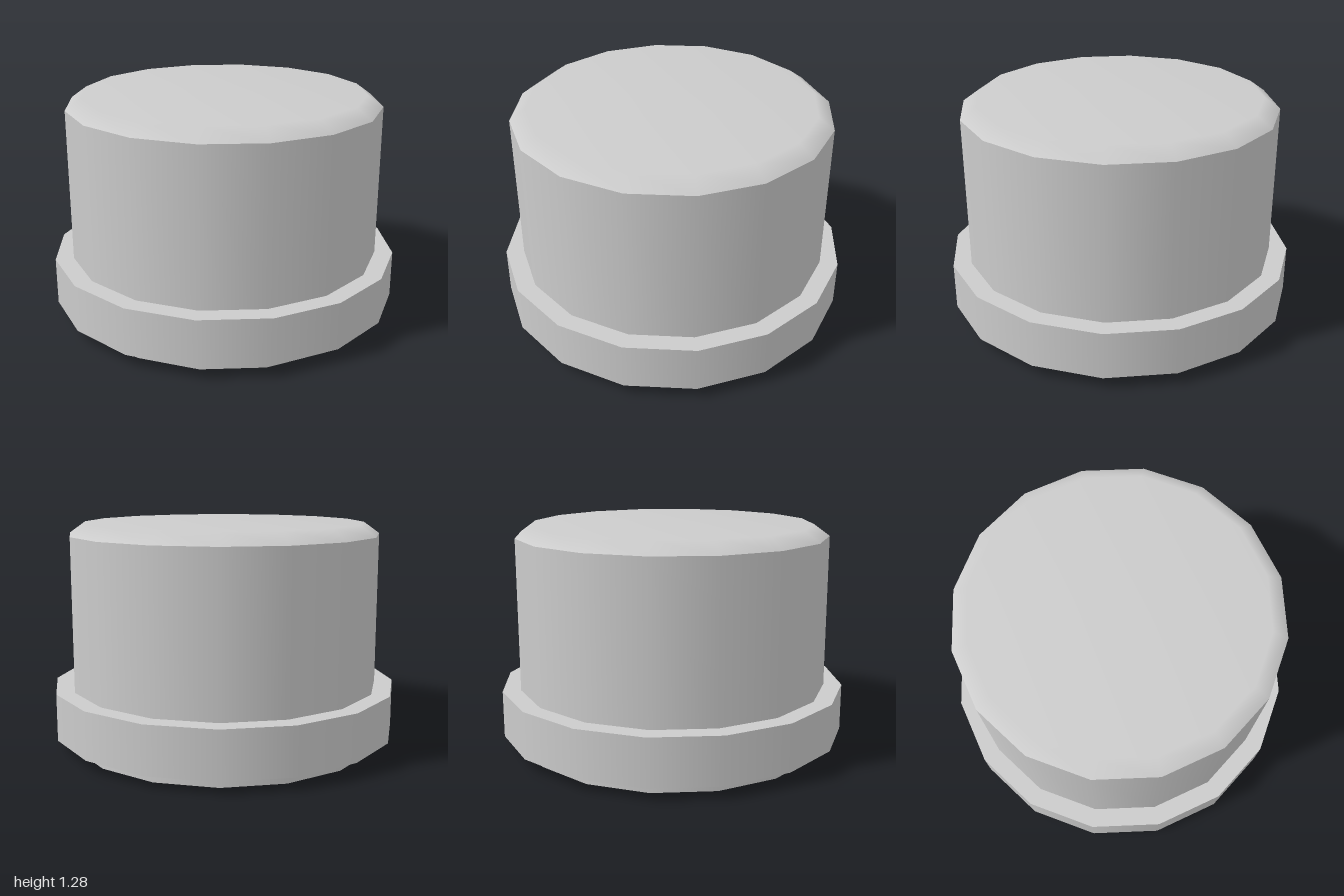
import * as THREE from 'three';

const SIDES = 16;
const TURN = -Math.PI / 32; // corners sit a quarter step off the axes
const BODY_R = 0.9, FLANGE_R = 1.005, TOP_R = 0.81;
const FLANGE_BOTTOM = 0.07, FLANGE_TOP = 0.34, SHOULDER = 1.215, TOP = 1.28;

export function createModel() {
  const group = new THREE.Group();
  const material = new THREE.MeshStandardMaterial({ color: 0xcccccc });

  // One smooth band of revolution; separate bands meet in hard edges
  const band = (name, ...profile) => {
    const points = profile.map(([r, y]) => new THREE.Vector2(r, y));
    const mesh = new THREE.Mesh(new THREE.LatheGeometry(points, SIDES, TURN), material);
    mesh.name = name;
    group.add(mesh);
  };

  // Foot below the flange
  band('footUnderside', [0, 0], [BODY_R, 0]);
  band('footWall', [BODY_R, 0], [BODY_R, FLANGE_BOTTOM]);

  // Wide flange
  band('flangeUnderside', [BODY_R, FLANGE_BOTTOM], [FLANGE_R, FLANGE_BOTTOM]);
  band('flangeWall', [FLANGE_R, FLANGE_BOTTOM], [FLANGE_R, FLANGE_TOP]);
  band('flangeTop', [FLANGE_R, FLANGE_TOP], [BODY_R, FLANGE_TOP]);

  // Main drum and its softly shaded bevelled cap
  band('bodyWall', [BODY_R, FLANGE_TOP], [BODY_R, SHOULDER]);
  band('bevelledCap', [BODY_R, SHOULDER], [TOP_R, TOP], [0, TOP]);

  return group;
}
